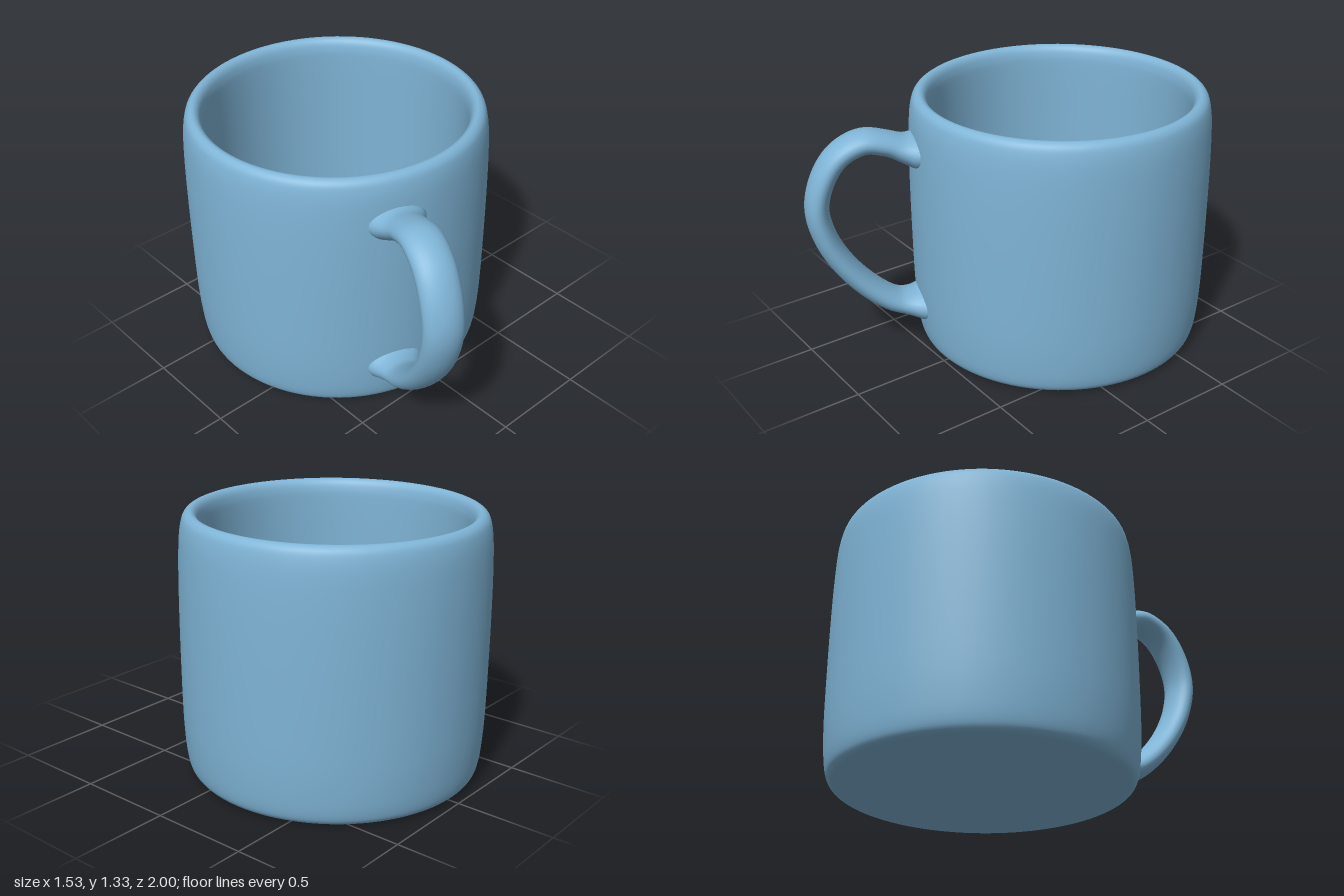
import * as THREE from 'three';
import { mergeVertices } from 'three/addons/utils/BufferGeometryUtils.js';

const CUP_Z = -0.235; // axis of the cup
const HANDLE_ANGLE = 0.344; // handle swing from +z towards -x

const toVectors = (pairs) => pairs.map(([x, y]) => new THREE.Vector2(x, y));

// Cup wall: underside, outer wall, rolled rim, inner wall and floor
function cupGeometry() {
  const profile = new THREE.SplineCurve(toVectors([
    [0, 0.003], [0.35, 0.003], [0.62, 0.003], [0.69, 0.006], [0.724, 0.022], [0.742, 0.065],
    [0.754, 0.16], [0.762, 0.32], [0.765, 0.6], [0.765, 0.85], [0.762, 1.05],
    [0.755, 1.2], [0.743, 1.28], [0.727, 1.316], [0.7, 1.331], [0.675, 1.318],
    [0.66, 1.28], [0.655, 1.2], [0.655, 0.9], [0.655, 0.5], [0.655, 0.2],
    [0.648, 0.135], [0.625, 0.108], [0.57, 0.1], [0.3, 0.1], [0, 0.1],
  ]));
  const points = profile.getPoints(100);
  points.forEach((p) => { p.x = Math.max(0, p.x); });
  return new THREE.LatheGeometry(points, 96);
}

// Handle: flattened tube along a planar ear curve, flaring where it meets the wall
function handleGeometry() {
  const rings = 96, sides = 28, thick = 0.06, wide = 0.1;
  // x is the distance from the cup axis, y is height
  const path = new THREE.CatmullRomCurve3([
    [0.72, 1.085], [0.8, 1.105], [0.89, 1.14], [1.0, 1.16], [1.12, 1.105], [1.205, 0.985],
    [1.243, 0.83], [1.212, 0.67], [1.13, 0.51], [1.01, 0.365], [0.89, 0.272],
    [0.8, 0.245], [0.72, 0.235],
  ].map(([x, y]) => new THREE.Vector3(x, y, 0)));
  let geometry = new THREE.TubeGeometry(path, rings, thick, sides);
  const pos = geometry.attributes.position;
  const v = new THREE.Vector3();
  for (let i = 0; i < pos.count; i++) {
    const centre = path.getPointAt(Math.floor(i / (sides + 1)) / rings);
    const near = THREE.MathUtils.clamp((0.88 - centre.x) / 0.13, 0, 1);
    const flare = 1 + 0.45 * near * near;
    v.fromBufferAttribute(pos, i).sub(centre).multiplyScalar(flare);
    v.z *= wide / thick;
    v.add(centre);
    pos.setXYZ(i, v.x, v.y, v.z);
  }
  geometry.deleteAttribute('uv');
  geometry.deleteAttribute('normal');
  geometry = mergeVertices(geometry, 1e-5);
  geometry.computeVertexNormals();
  return geometry;
}

export function createModel() {
  const group = new THREE.Group();
  group.name = 'mug';
  const material = new THREE.MeshStandardMaterial({ color: 0x7fb4d6 });

  const cup = new THREE.Mesh(cupGeometry(), material);
  cup.name = 'cup';
  cup.position.z = CUP_Z;

  const handle = new THREE.Mesh(handleGeometry(), material);
  handle.name = 'handle';
  handle.position.z = CUP_Z;
  handle.rotation.y = -(Math.PI / 2 + HANDLE_ANGLE);

  group.add(cup, handle);
  return group;
}
